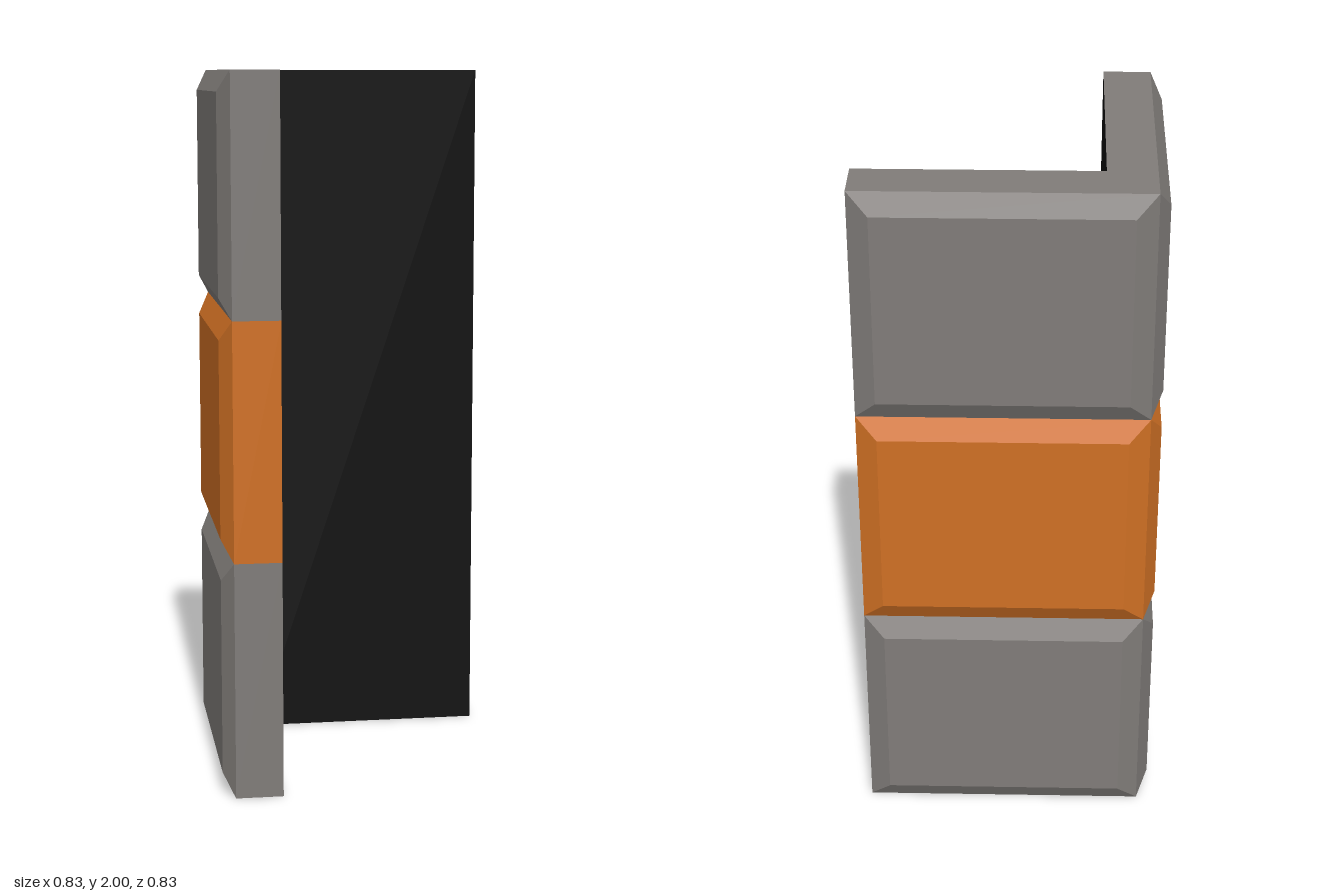
import * as THREE from 'three';

const OUT = -0.383, IN = -0.25, END = 0.413; // wall outer face, inner face and free end
const FACE = -0.415, BEVEL = 0.058, HEIGHT = 2, ROWS = 3;

// Flat-faced geometry from quads with counter-clockwise corners
function quadGeometry(quads) {
  const pos = [];
  for (const [a, b, c, d] of quads) pos.push(...a, ...b, ...c, ...a, ...c, ...d);
  const g = new THREE.BufferGeometry();
  g.setAttribute('position', new THREE.Float32BufferAttribute(pos, 3));
  g.computeVertexNormals();
  return g;
}

// Swap x and z to turn the back wing into the side wing
const mirror = (quads) => quads.map((q) => q.map(([x, y, z]) => [z, y, x]).reverse());

// Rectangle facing -z
const backRect = (x0, x1, y0, y1, z) => [[x1, y0, z], [x0, y0, z], [x0, y1, z], [x1, y1, z]];

// Bevelled cushion on the back wing, with the wing's end face
function blockQuads(y0, y1) {
  const base = backRect(OUT, END, y0, y1, OUT);
  const top = backRect(OUT + BEVEL, END - BEVEL, y0 + BEVEL, y1 - BEVEL, FACE);
  const quads = [top];
  for (let i = 0; i < 4; i++) {
    const j = (i + 1) % 4;
    quads.push([base[i], base[j], top[j], top[i]]);
  }
  quads.push([[END, y0, IN], [END, y0, OUT], [END, y1, OUT], [END, y1, IN]]);
  return quads;
}

// Half of the L-shaped cap, mitred at the corner
const capQuad = (y) => [[OUT, y, OUT], [IN, y, IN], [END, y, IN], [END, y, OUT]];

export function createModel() {
  const grey = new THREE.MeshStandardMaterial({ color: 0x807c79 });
  grey.name = 'stone grey';
  const orange = new THREE.MeshStandardMaterial({ color: 0xd07024 });
  orange.name = 'orange';
  const black = new THREE.MeshStandardMaterial({ color: 0x0d0d0d });
  black.name = 'black';

  const group = new THREE.Group();
  group.name = 'cornerGuard';
  const add = (name, quads, material) => {
    const mesh = new THREE.Mesh(quadGeometry([...quads, ...mirror(quads)]), material);
    mesh.name = name;
    group.add(mesh);
  };

  // Stacked corner blocks, the middle one orange
  const names = ['lowerBlock', 'middleBlock', 'upperBlock'];
  for (let i = 0; i < ROWS; i++) {
    add(names[i], blockQuads((HEIGHT * i) / ROWS, (HEIGHT * (i + 1)) / ROWS), i === 1 ? orange : grey);
  }

  // Top and bottom caps
  add('topCap', [capQuad(HEIGHT)], grey);
  add('bottomCap', [capQuad(0).reverse()], grey);

  // Inner lining
  add('innerLining', [[[IN, 0, IN], [END, 0, IN], [END, HEIGHT, IN], [IN, HEIGHT, IN]]], black);

  return group;
}
